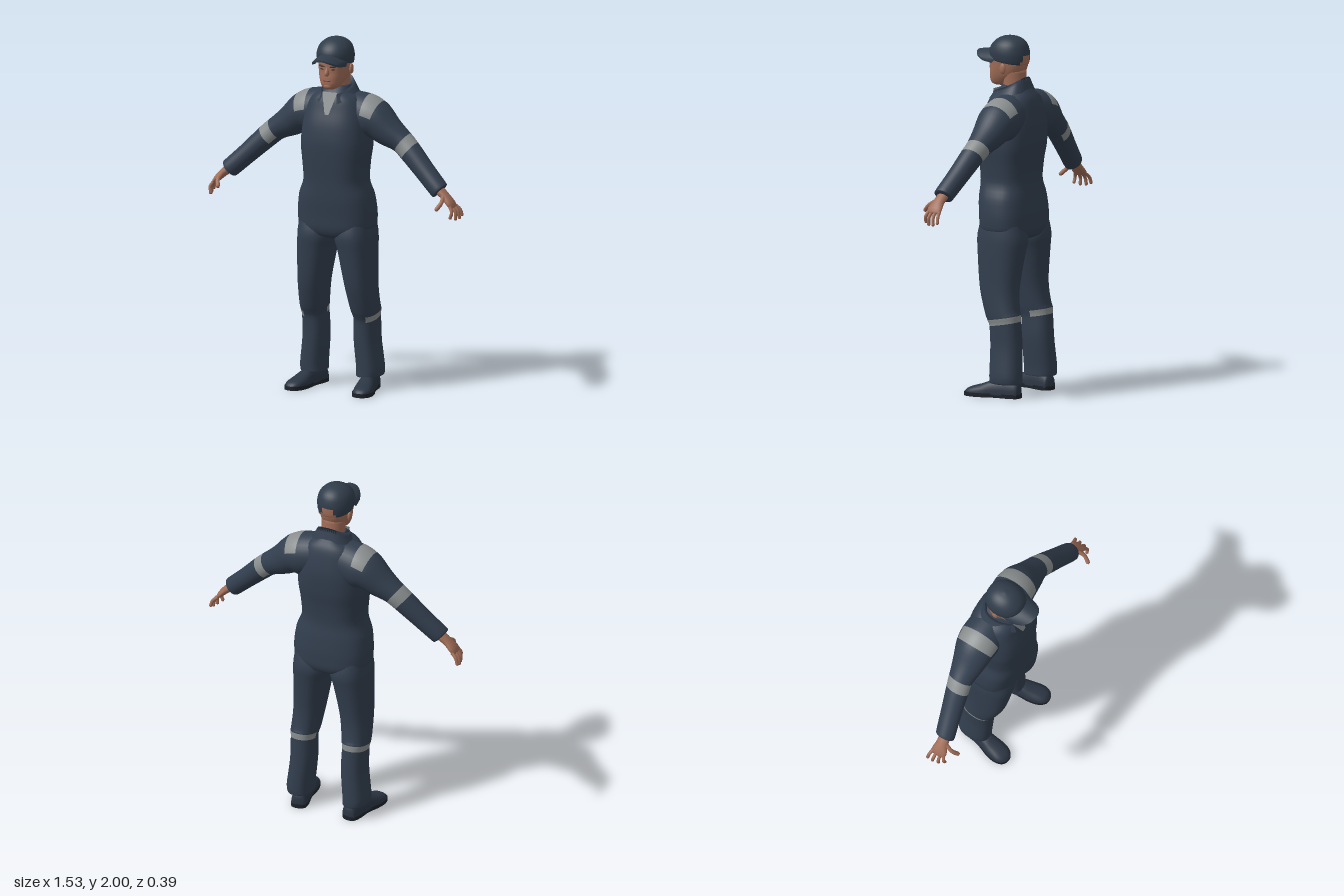
import * as THREE from 'three';

const mat = (name, color, side = THREE.FrontSide) => {
  const m = new THREE.MeshStandardMaterial({ color, side });
  m.name = name;
  return m;
};
const suit = mat('navy overall', 0x323e4e, THREE.DoubleSide);
const capCloth = mat('cap cloth', 0x303c4a);
const skin = mat('skin', 0xa06d58);
const lip = mat('lip', 0x7c4a3e);
const dark = mat('eye and brow', 0x3a2a26);
const grey = mat('reflective grey', 0x8a8e8e, THREE.DoubleSide);
const leather = mat('shoe leather', 0x2b3543);
const rubber = mat('sole rubber', 0x1c2129);

const spow = (v, e) => Math.sign(v) * Math.abs(v) ** e;
const rad = THREE.MathUtils.degToRad;

// Smooth, overshoot-free interpolation of the key rows
function refine(keys, sub) {
  const slope = (i, c) => {
    const a = keys[i - 1], b = keys[i], d = keys[i + 1];
    if (!a) return d[c] - b[c];
    if (!d) return b[c] - a[c];
    const p = b[c] - a[c], q = d[c] - b[c];
    return p * q <= 0 ? 0 : (2 * p * q) / (p + q);
  };
  const rows = [];
  for (let i = 0; i < keys.length - 1; i++)
    for (let s = 0; s < sub; s++) {
      const t = s / sub, t2 = t * t, t3 = t2 * t;
      rows.push(keys[i].map((v, c) => v * (2 * t3 - 3 * t2 + 1) + slope(i, c) * (t3 - 2 * t2 + t)
        + keys[i + 1][c] * (3 * t2 - 2 * t3) + slope(i + 1, c) * (t3 - t2)));
    }
  rows.push(keys[keys.length - 1]);
  return rows;
}

// Closed skin over cross-sections; pick(key, degrees) selects the material of a face
function loft(name, keys, place, mats, pick = () => 0, sub = 4, seg = 32) {
  const rows = refine(keys, sub), pts = [], faces = mats.map(() => []);
  rows.forEach(r => {
    for (let j = 0; j < seg; j++) pts.push(place(r, (j / seg) * Math.PI * 2 - Math.PI));
  });
  for (let i = 0; i < rows.length - 1; i++)
    for (let j = 0; j < seg; j++) {
      const a = i * seg + j, b = i * seg + (j + 1) % seg;
      faces[pick(Math.floor(i / sub), ((j + 0.5) / seg) * 360 - 180)].push(a, b, a + seg, b, b + seg, a + seg);
    }
  [0, rows.length - 1].forEach((r, end) => {
    const mid = new THREE.Vector3();
    for (let j = 0; j < seg; j++) mid.addScaledVector(pts[r * seg + j], 1 / seg);
    const c = pts.push(mid) - 1;
    for (let j = 0; j < seg; j++) {
      const a = r * seg + j, b = r * seg + (j + 1) % seg;
      faces[0].push(...(end ? [a, b, c] : [b, a, c]));
    }
  });
  // turn the faces outward
  const v = new THREE.Vector3();
  let vol = 0;
  faces.forEach(f => {
    for (let i = 0; i < f.length; i += 3) vol += v.crossVectors(pts[f[i]], pts[f[i + 1]]).dot(pts[f[i + 2]]);
  });
  if (vol < 0) faces.forEach(f => f.reverse());
  const g = new THREE.BufferGeometry().setFromPoints(pts);
  g.setIndex(faces.flat());
  let start = 0;
  faces.forEach((f, m) => { g.addGroup(start, f.length, m); start += f.length; });
  g.computeVertexNormals();
  return named(name, g, mats.length > 1 ? mats : mats[0]);
}

function named(name, geometry, material, x = 0, y = 0, z = 0) {
  const m = new THREE.Mesh(geometry, material);
  m.name = name;
  m.position.set(x, y, z);
  return m;
}

function reshape(g, rule) {
  const p = g.attributes.position, v = new THREE.Vector3();
  for (let i = 0; i < p.count; i++) {
    rule(v.fromBufferAttribute(p, i));
    p.setXYZ(i, v.x, v.y, v.z);
  }
  g.computeVertexNormals();
  return g;
}

// Horizontal section: y, half width, front z, back z
const level = n => ([y, w, f, b], a) => new THREE.Vector3(
  w * spow(Math.sin(a), 2 / n), y, (f + b) / 2 + ((f - b) / 2) * spow(Math.cos(a), 2 / n));
// Limb section: centre x, y, z, droop angle, thickness radius, depth radius
const limb = ([x, y, z, t, r1, r2], a) => new THREE.Vector3(
  x + Math.sin(t) * r1 * Math.cos(a), y + Math.cos(t) * r1 * Math.cos(a), z + r2 * Math.sin(a));

function buildArm() {
  const g = new THREE.Group();
  g.add(loft('sleeve', [
    [.05, 1.58, -.06, 0, .115, .11], [.165, 1.555, -.065, .1, .125, .118], [.225, 1.54, -.065, .3, .11, .112],
    [.30, 1.48, -.06, .6, .086, .092], [.387, 1.427, -.055, .64, .066, .07], [.435, 1.385, -.045, .7, .064, .066],
    [.54, 1.285, -.02, .73, .057, .06], [.64, 1.192, .005, .73, .053, .055], [.645, 1.188, .005, .73, .035, .038],
  ], limb, [suit, grey], (k, a) => (k === 1 && a > -66 && a < 76) || (k === 4 && Math.abs(a) < 140) ? 1 : 0));
  // hand
  g.add(loft('palm', [
    [.63, 1.2, .005, .75, .028, .034], [.675, 1.165, .01, .8, .023, .034],
    [.712, 1.128, .014, .95, .018, .046], [.73, 1.105, .014, 1, .01, .04],
  ], limb, [skin], undefined, 3, 16));
  const fingers = [
    [[.72, 1.115, -.022], [.748, 1.09, -.03], [.758, 1.06, -.034]],
    [[.722, 1.115, .002], [.75, 1.085, 0], [.756, 1.048, -.004]],
    [[.722, 1.115, .026], [.748, 1.082, .03], [.748, 1.047, .03]],
    [[.72, 1.118, .046], [.738, 1.085, .058], [.73, 1.056, .06]],
    [[.675, 1.165, .035], [.682, 1.138, .075], [.668, 1.108, .106]],
  ];
  fingers.forEach((p, i) => {
    const r = i === 4 ? .012 : .0095, curve = new THREE.CatmullRomCurve3(p.map(q => new THREE.Vector3(...q)));
    const name = i === 4 ? 'thumb' : 'finger';
    g.add(named(name, new THREE.TubeGeometry(curve, 8, r, 8), skin));
    g.add(named(name + 'Tip', new THREE.SphereGeometry(r, 8, 6), skin, ...p[2]));
  });
  return g;
}

function buildLeg() {
  const g = new THREE.Group();
  // y, outer x, inner x, front z, back z; the knee band slopes down to the front
  g.add(loft('trouserLeg', [
    [.98, .21, .03, .09, -.16], [.88, .222, .003, .113, -.183], [.8, .224, .022, .105, -.172],
    [.6, .226, .06, .08, -.15], [.47, .23, .08, .035, -.163], [.445, .23, .085, .022, -.17],
    [.41, .225, .09, .01, -.172], [.3, .225, .086, .005, -.18], [.12, .243, .1, .001, -.19],
    [.08, .238, .1, 0, -.187], [.075, .21, .12, -.03, -.16],
  ], ([y, o, i, f, b], a) => {
    const z = (f + b) / 2 + ((f - b) / 2) * spow(Math.sin(a), .85);
    const slope = .2 * Math.exp(-(((y - .43) / .08) ** 2));
    return new THREE.Vector3((o + i) / 2 + ((o - i) / 2) * spow(Math.cos(a), .85), y - (z + .08) * slope, z);
  }, [suit, grey], (k, a) => (k === 5 && a < 68 ? 1 : 0)));

  // shoe, toe turned outward
  const shoe = new THREE.Group();
  shoe.name = 'shoe';
  shoe.add(loft('shoeUpper', [
    [-.163, .02, .05], [-.15, .042, .085], [-.08, .046, .1], [0, .048, .092], [.06, .055, .07],
    [.12, .052, .052], [.15, .036, .038], [.164, .014, .022],
  ], ([z, w, h], a) => new THREE.Vector3(
    w * spow(Math.cos(a), .8), .015 + (h - .015) * Math.max(0, spow(Math.sin(a), .8)), z), [leather], undefined, 3, 24));
  const outline = [[0, -.168], [.038, -.155], [.048, -.1], [.044, -.03], [.058, .06], [.055, .12], [.033, .158], [0, .168]];
  const all = [...outline, ...outline.slice(1, -1).reverse().map(([x, z]) => [-x, z])];
  const path = new THREE.CatmullRomCurve3(all.map(([x, z]) => new THREE.Vector3(x, -z, 0)), true).getPoints(40);
  const sole = new THREE.ExtrudeGeometry(new THREE.Shape(path.map(p => new THREE.Vector2(p.x, p.y))),
    { depth: .022, bevelEnabled: false });
  shoe.add(named('sole', sole.rotateX(-Math.PI / 2), rubber));
  shoe.position.set(.184, 0, -.018);
  shoe.rotation.y = .2;
  g.add(shoe);
  return g;
}

function buildHead() {
  const g = new THREE.Group();
  g.name = 'head';
  g.add(loft('neck', [[1.62, .066, .03, -.11], [1.72, .066, .025, -.105], [1.82, .07, .03, -.1]], level(2), [skin]));
  g.add(loft('face', [
    [1.718, .022, .09, .03], [1.728, .045, .103, 0], [1.755, .062, .112, -.04], [1.785, .074, .112, -.085],
    [1.82, .082, .108, -.104], [1.845, .085, .108, -.11], [1.87, .087, .108, -.111], [1.92, .08, .09, -.1],
  ], level(2.3), [skin]));
  // nose wedge, widening toward the tip
  const nose = reshape(new THREE.SphereGeometry(1, 16, 12), v => {
    const low = (1 - v.y) / 2;
    v.set(v.x * (.007 + .012 * low), 1.822 + v.y * .026, .107 + v.z * (.008 + .024 * low));
  });
  g.add(named('nose', nose, skin));
  g.add(named('mouth', new THREE.SphereGeometry(1, 14, 8).scale(.026, .005, .006), lip, 0, 1.772, .109));
  g.add(named('chin', new THREE.SphereGeometry(1, 14, 10).scale(.026, .016, .014), skin, 0, 1.74, .099));
  for (const s of [-1, 1]) {
    g.add(named('ear', new THREE.SphereGeometry(1, 12, 10).scale(.011, .03, .019), skin, s * .09, 1.825, -.018));
    const eye = named('eye', new THREE.SphereGeometry(1, 12, 8).scale(.012, .004, .004), dark, s * .033, 1.836, .101);
    const brow = named('brow', new THREE.SphereGeometry(1, 12, 8).scale(.021, .005, .007), dark, s * .034, 1.852, .101);
    brow.rotation.z = s * .12;
    eye.rotation.y = brow.rotation.y = s * .3;
    g.add(eye, brow);
  }
  // cap: lower edge dips at the back, with a small strap opening
  g.add(loft('capCrown', [
    [1.86, .096, .106, -.114], [1.875, .1, .11, -.118], [1.905, .102, .11, -.12], [1.945, .093, .097, -.11],
    [1.975, .07, .07, -.086], [1.993, .04, .035, -.052], [2, .008, 0, -.016],
  ], (r, a) => {
    const p = level(2.1)(r, a);
    p.y += Math.max(0, 1 - (r[0] - 1.86) / .1) * .016 * Math.cos(a);
    return p;
  }, [capCloth, skin], (k, a) => (Math.abs(a) > (k === 0 ? 152 : 160) && k < 2 ? 1 : 0), 3, 40));
  const brim = reshape(new THREE.BoxGeometry(2, .01, 1, 24, 1, 8), v => {
    const u = v.x, d = v.z + .5;
    const front = .055 + .14 * Math.sqrt(Math.max(0, 1 - Math.abs(u) ** 2.6));
    v.set(u * .092, v.y + 1.918 - .045 * u * u - .018 * d * d, .03 + (front - .03) * d);
  });
  g.add(named('capBrim', brim, capCloth));
  g.add(named('capButton', new THREE.SphereGeometry(.008, 10, 6).scale(1, .5, 1), capCloth, 0, 1.996, -.008));
  return g;
}

export function createModel() {
  const model = new THREE.Group();
  model.name = 'worker';
  model.add(loft('torso', [
    [.86, .07, .03, -.1], [.89, .17, .1, -.17], [.94, .22, .117, -.186], [1.0, .223, .12, -.186],
    [1.1, .212, .128, -.178], [1.2, .18, .13, -.165], [1.3, .187, .136, -.173], [1.4, .197, .14, -.19],
    [1.5, .19, .13, -.196], [1.6, .172, .1, -.182], [1.66, .14, .08, -.165], [1.7, .085, .05, -.14], [1.73, .07, .02, -.12],
  ], level(2.6), [suit], undefined, 4, 40));

  // shirt showing in the open neck
  const v = new THREE.Shape([[-.012, 1.58], [.012, 1.58], [.046, 1.7], [-.046, 1.7]].map(p => new THREE.Vector2(...p)));
  model.add(named('shirtFront', reshape(new THREE.ShapeGeometry(v), p => { p.z = .115 - (p.y - 1.58) * .36; }), grey));

  // folded collar, open at the front
  const collar = reshape(new THREE.PlaneGeometry(1, 1, 40, 4), p => {
    const a = rad(28 + (p.x + .5) * 304), c = Math.cos(a), t = .5 - p.y;
    const inner = t < .2, k = inner ? 0 : (t - .25) / .75;
    const point = .03 * Math.max(0, c) ** 3;
    const top = 1.73 - .045 * c, low = 1.678 - .02 * c - point;
    const rx = inner ? .07 : .082 + .034 * k, rz = (inner ? .09 : .1 + .03 * k) + (.03 + .008 * k) * c;
    p.set(rx * Math.sin(a), inner ? top - .05 : top + (low - top) * k, -.045 + rz * c);
  });
  model.add(named('collar', collar, suit));
  model.add(buildHead());

  for (const [side, s] of [['left', 1], ['right', -1]]) {
    const arm = buildArm(), leg = buildLeg();
    arm.name = side + 'Arm';
    leg.name = side + 'Leg';
    arm.scale.x = leg.scale.x = s;
    model.add(arm, leg);
  }
  return model;
}
